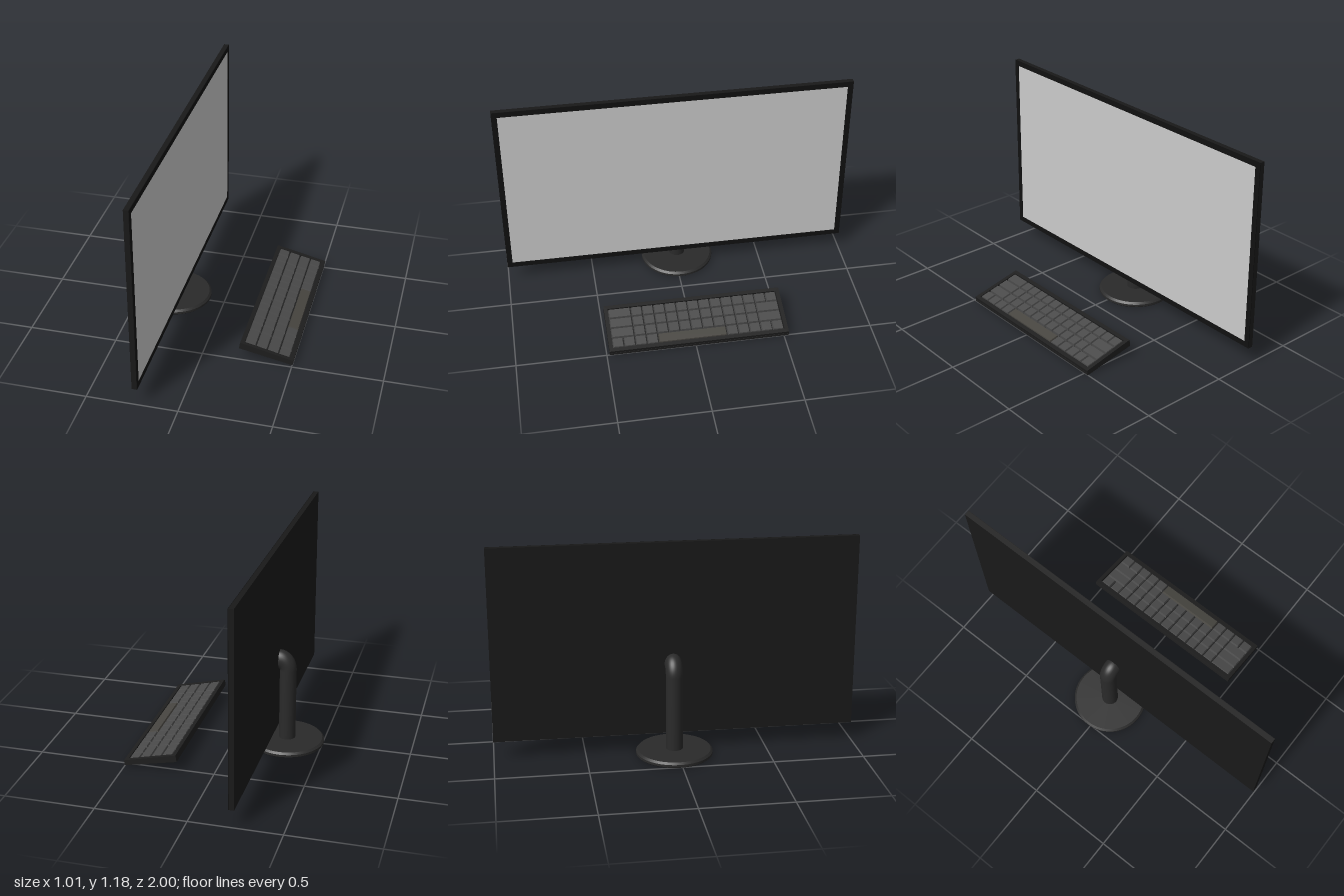
import * as THREE from 'three';

const mat = (color) => new THREE.MeshStandardMaterial({ color });
const housingMat = mat(0x191919), bezelMat = mat(0x101010), screenMat = mat(0xc2c2c2);
const standMat = mat(0x2a2a2a), caseMat = mat(0x1e1e1e);
const keyMat = mat(0x4a4a4a), spaceMat = mat(0x474540);

function add(parent, name, geometry, material, x = 0, y = 0, z = 0) {
  const mesh = new THREE.Mesh(geometry, material);
  mesh.name = name;
  mesh.position.set(x, y, z);
  parent.add(mesh);
  return mesh;
}

function rectPath(x0, y0, x1, y1, Type = THREE.Shape) {
  return new Type([[x0, y0], [x1, y0], [x1, y1], [x0, y1]].map(([x, y]) => new THREE.Vector2(x, y)));
}

// Flat rectangular ring: outer and inner given as [x0, y0, x1, y1]
function ring(outer, inner, depth) {
  const shape = rectPath(...outer);
  shape.holes.push(rectPath(...inner, THREE.Path));
  return new THREE.ExtrudeGeometry(shape, { depth, bevelEnabled: false });
}

function createMonitor() {
  const g = new THREE.Group();
  g.name = 'monitor';
  const back = -0.246, front = -0.216, recess = 0.003, bezel = 0.031;
  const y0 = 0.10, y1 = 1.18;
  const depth = front - back - recess;
  add(g, 'housing', new THREE.BoxGeometry(depth, y1 - y0, 2), housingMat, back + depth / 2, (y0 + y1) / 2, 0);
  const rim = add(g, 'bezel', ring([-1, y0, 1, y1], [-1 + bezel, y0 + bezel, 1 - bezel, y1 - bezel], recess),
    bezelMat, front - recess);
  rim.rotation.y = Math.PI / 2;
  const screen = add(g, 'screen', new THREE.PlaneGeometry(2 - 2 * bezel, y1 - y0 - 2 * bezel), screenMat,
    front - recess + 0.001, (y0 + y1) / 2, 0);
  screen.rotation.y = Math.PI / 2;
  return g;
}

function createStand() {
  const g = new THREE.Group();
  g.name = 'stand';
  g.position.set(-0.297, 0, -0.015);
  // Round foot with chamfered edges, one creased band at a time
  const profile = [[0, 0], [0.206, 0], [0.211, 0.005], [0.211, 0.018], [0.2, 0.029], [0, 0.03]];
  for (let i = 0; i < profile.length - 1; i++) {
    const pts = profile.slice(i, i + 2).map(([x, y]) => new THREE.Vector2(x, y));
    add(g, 'foot', new THREE.LatheGeometry(pts, 64), standMat);
  }
  // Post and the slightly stretched elbow that meets the back of the housing
  const r = 0.047, bendY = 0.447, bend = 0.048, stretch = 1.19;
  add(g, 'post', new THREE.CylinderGeometry(r, r, bendY - 0.02, 32, 1, true), standMat, 0, (bendY + 0.02) / 2, 0);
  const elbow = add(g, 'elbow', new THREE.TorusGeometry(bend, r, 32, 24, Math.PI / 2), standMat, bend, bendY, 0);
  elbow.rotation.y = Math.PI;
  elbow.scale.y = stretch;
  const cap = add(g, 'elbowCap', new THREE.CircleGeometry(r, 32), standMat, bend, bendY + bend * stretch, 0);
  cap.rotation.y = Math.PI / 2;
  cap.scale.y = stretch;
  return g;
}

// Box whose top face is drawn in, like a keycap
function keycap(w, h, d) {
  const inset = 0.004;
  const geo = new THREE.BoxGeometry(w, h, d).toNonIndexed();
  const p = geo.attributes.position;
  for (let i = 0; i < p.count; i++) {
    if (p.getY(i) > 0) {
      p.setX(i, p.getX(i) - Math.sign(p.getX(i)) * inset);
      p.setZ(i, p.getZ(i) - Math.sign(p.getZ(i)) * inset);
    }
  }
  geo.computeVertexNormals();
  return geo;
}

function createKeyboard() {
  const g = new THREE.Group();
  g.name = 'keyboard';
  // Local frame: origin at the raised rear edge, x runs down the slope, y out of the top
  g.position.set(0.209, 0.1, 0);
  g.rotation.z = -0.2323;
  const z0 = -0.527, z1 = 0.484, length = 0.305, floor = -0.016;
  const area = { u0: 0.022, u1: 0.282, z0: -0.505, z1: 0.463 };

  // Wedge-shaped lower case
  const wedge = new THREE.Shape([[0.003, -0.039], [0.308, -0.0298], [length + 0.001, floor], [0, floor]]
    .map(([x, y]) => new THREE.Vector2(x, y)));
  add(g, 'lowerCase', new THREE.ExtrudeGeometry(wedge, { depth: z1 - z0, bevelEnabled: false }), caseMat, 0, 0, z0);

  // Raised rim around the keys
  const rim = add(g, 'caseRim', ring([0, -z1, length, -z0], [area.u0, -area.z1, area.u1, -area.z0], -floor),
    caseMat, 0, floor, 0);
  rim.rotation.x = -Math.PI / 2;

  // Key widths per row, from the user's left (+z) to right
  const ones = (n) => Array(n).fill(1);
  const rows = [
    [2, ...ones(13)],
    [2, ...ones(11), 2],
    [2, ...ones(11), 2],
    [...ones(4), 6, ...ones(5)],
  ];
  const unit = (area.z1 - area.z0) / 15, pitch = (area.u1 - area.u0) / rows.length, gap = 0.004;
  const keyH = 0.016;
  rows.forEach((row, r) => {
    let z = area.z1;
    for (const w of row) {
      const isSpace = w === 6;
      add(g, isSpace ? 'spaceBar' : 'key', keycap(pitch - gap, keyH, w * unit - gap), isSpace ? spaceMat : keyMat,
        area.u0 + (r + 0.5) * pitch, floor + keyH / 2, z - w * unit / 2);
      z -= w * unit;
    }
  });
  return g;
}

export function createModel() {
  const model = new THREE.Group();
  model.name = 'desktopComputer';
  model.add(createMonitor(), createStand(), createKeyboard());
  return model;
}
